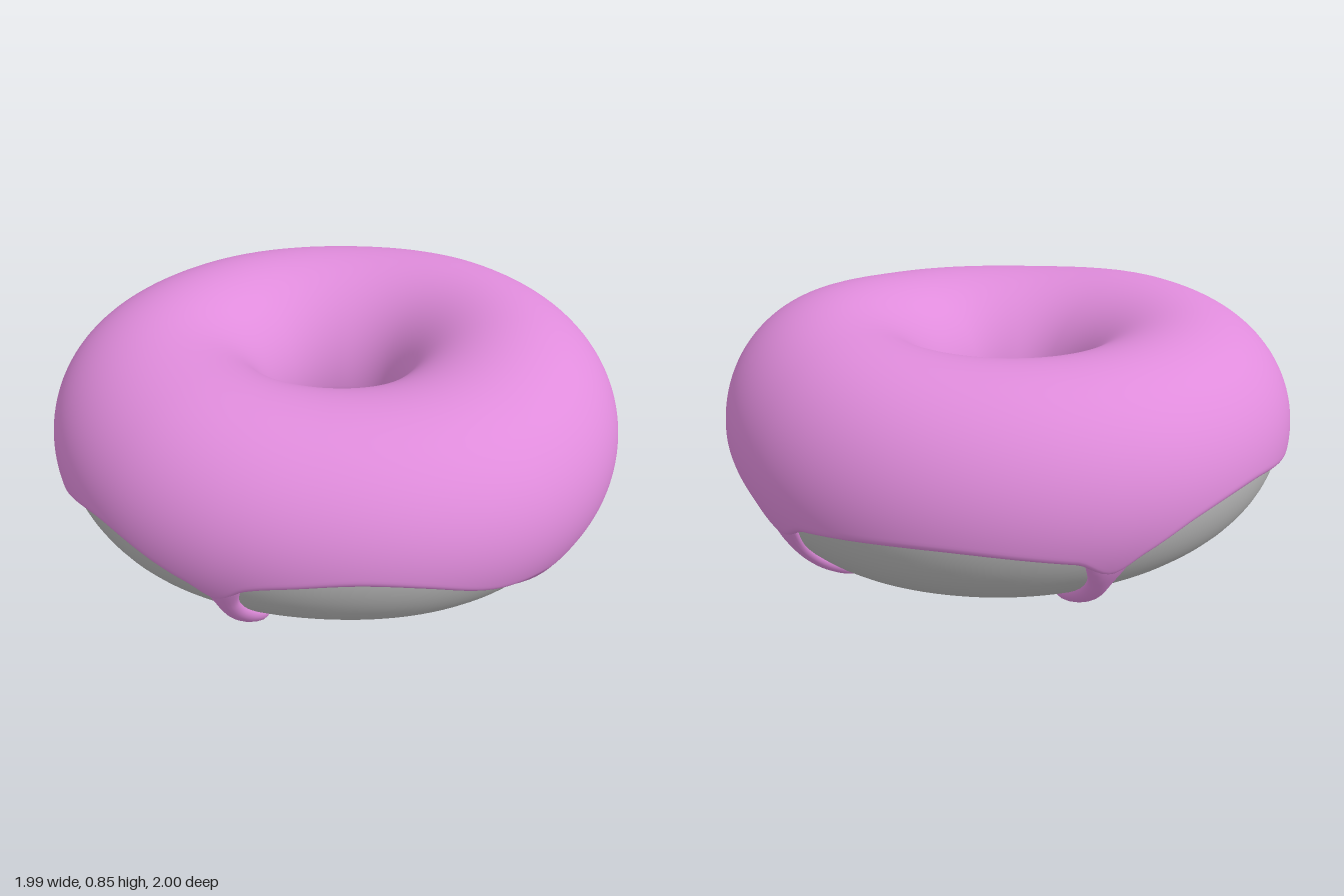
import * as THREE from 'three';

const T = 0.03; // icing thickness
const RAD = Math.PI / 180;

// Smooth periodic curve through [degrees, value] keys
function loop(keys) {
  const n = keys.length;
  const at = (i) => {
    const k = keys[((i % n) + n) % n];
    return [k[0] + 360 * Math.floor(i / n), k[1]];
  };
  const slope = (i) => {
    const a = at(i - 1), b = at(i + 1);
    return (b[1] - a[1]) / (b[0] - a[0]);
  };
  return (deg) => {
    const d = (((deg - keys[0][0]) % 360) + 360) % 360 + keys[0][0];
    let i = 0;
    while (at(i + 1)[0] <= d) i++;
    const [x0, y0] = at(i), [x1, y1] = at(i + 1);
    const h = x1 - x0, t = (d - x0) / h, t2 = t * t, t3 = t2 * t;
    return y0 * (2 * t3 - 3 * t2 + 1) + slope(i) * h * (t3 - 2 * t2 + t)
      + y1 * (3 * t2 - 2 * t3) + slope(i + 1) * h * (t3 - t2);
  };
}

const every45 = (values) => loop(values.map((v, i) => [i * 45, v]));

// Irregular ring: outer radius, hole radius, top and bottom by angle (+x towards +z)
const outer = every45([0.985, 0.932, 0.995, 1.03, 0.998, 0.968, 0.998, 1.025]);
const hole = every45([0.15, 0.132, 0.185, 0.235, 0.228, 0.215, 0.24, 0.21]);
const top = every45([0.82, 0.815, 0.84, 0.847, 0.845, 0.845, 0.86, 0.86]);
const bottom = every45([0.05, 0.06, 0.083, 0.09, 0.085, 0.06, 0.045, 0.048]);

// Height of the icing's outer hem, dipping at each drip
const hem = loop([
  [-8, 0.24], [-3, 0.26], [10, 0.3], [25, 0.38], [38, 0.41], [52, 0.39], [60, 0.36], [66, 0.3],
  [72, 0.35], [92, 0.44], [112, 0.36], [121, 0.3], [128, 0.34], [150, 0.41], [165, 0.45],
  [180, 0.42], [191, 0.34], [197, 0.28], [204, 0.34], [230, 0.385], [258, 0.33], [267, 0.26],
  [275, 0.33], [290, 0.4], [308, 0.45], [330, 0.35], [346, 0.27],
]);

function section(deg) {
  const ro = outer(deg), ri = hole(deg), yt = top(deg) - T, yb = bottom(deg);
  return { R: (ro + ri) / 2, a: (ro - ri) / 2 - T, c: (yt + yb) / 2, b: (yt - yb) / 2 };
}

// Point on the ring, raised by off from the dough; phi is 0 outside, 90 degrees on top
function ringPoint(deg, phi, off = 0) {
  const { R, a, c, b } = section(deg);
  const r = R + (a + off) * Math.cos(phi);
  return new THREE.Vector3(
    r * Math.cos(deg * RAD), c + (b + off) * Math.sin(phi), r * Math.sin(deg * RAD));
}

// Smooth skin over rows of points; columns always close, rows close on request
function skin(rows, cols, closeRows, point) {
  const pos = [], index = [];
  for (let i = 0; i < rows; i++) {
    for (let j = 0; j < cols; j++) pos.push(...point(i, j).toArray());
  }
  for (let i = 0; i < (closeRows ? rows : rows - 1); i++) {
    for (let j = 0; j < cols; j++) {
      const i2 = (i + 1) % rows, j2 = (j + 1) % cols;
      const a = i * cols + j, b = i2 * cols + j, c = i2 * cols + j2, d = i * cols + j2;
      index.push(a, b, c, a, c, d);
    }
  }
  const g = new THREE.BufferGeometry();
  g.setAttribute('position', new THREE.Float32BufferAttribute(pos, 3));
  g.setIndex(index);
  g.computeVertexNormals();
  return g;
}

function doughGeometry() {
  const rows = 64, cols = 128;
  return skin(rows, cols, true, (i, j) =>
    ringPoint((j / cols) * 360, (i / rows) * Math.PI * 2));
}

// Icing sheet from the outer hem over the top and down into the hole, with rounded edges
function icingGeometry() {
  const rows = 72, cols = 288, round = 0.08;
  return skin(rows, cols, false, (i, j) => {
    const deg = (j / cols) * 360;
    const { c, b } = section(deg);
    const start = Math.asin((hem(deg) - c) / b);
    const end = Math.PI - Math.asin((0.41 - c) / b);
    const phi = start + (end - start) * (1 - Math.cos((i / (rows - 1)) * Math.PI)) / 2;
    const d = Math.min(1, Math.min(phi - start, end - phi) / round);
    const off = i === 0 || i === rows - 1 ? -0.01 : T * Math.sqrt(Math.max(0, 1 - (1 - d) ** 2));
    return ringPoint(deg, phi, off);
  });
}

// Drip: flattened tube hugging the dough, wide root, thin neck and round bulb
function dripGeometry({ from, to, start, end, bulb }) {
  const rows = 40, cols = 20;
  const at = (s) => ringPoint(
    THREE.MathUtils.lerp(from, to, s), THREE.MathUtils.lerp(start, end, s) * RAD);
  const length = at(0).distanceTo(at(0.5)) + at(0.5).distanceTo(at(1));
  const smooth = THREE.MathUtils.smoothstep;
  return skin(rows, cols, false, (i, j) => {
    const s = (1 - Math.cos((i / (rows - 1)) * Math.PI)) / 2;
    const p = at(s);
    const deg = THREE.MathUtils.lerp(from, to, s);
    const phi = THREE.MathUtils.lerp(start, end, s) * RAD;
    const normal = ringPoint(deg, phi, 0.01).sub(ringPoint(deg, phi, 0)).normalize();
    const along = at(s + 0.01).sub(at(s - 0.01)).normalize();
    const side = along.clone().cross(normal).normalize();
    let w = 0.045 + 0.045 * (1 - smooth(s, 0, 0.4)) + (bulb - 0.045) * smooth(s, 0.45, 0.85);
    const left = Math.min(1, ((1 - s) * length) / bulb);
    const cap = Math.sqrt(Math.max(0, 1 - (1 - left) ** 2)) * Math.min(1, s * 12);
    const h = (0.028 + 0.014 * smooth(s, 0.3, 0.8)) * cap;
    w *= cap;
    const t = (j / cols) * Math.PI * 2;
    return p.addScaledVector(side, w * Math.cos(t)).addScaledVector(normal, h * Math.sin(t));
  });
}

export function createModel() {
  const group = new THREE.Group();
  group.name = 'icedRing';
  const dough = new THREE.MeshStandardMaterial({ color: 0xb8b8b8 });
  dough.name = 'grey dough';
  const icing = new THREE.MeshStandardMaterial({ color: 0xe08cdc });
  icing.name = 'pink icing';

  const add = (name, geometry, material) => {
    const mesh = new THREE.Mesh(geometry, material);
    mesh.name = name;
    group.add(mesh);
  };
  add('dough', doughGeometry(), dough);
  add('icing', icingGeometry(), icing);

  // Angles in degrees around the ring (from, to) and down its side (start, end)
  const drips = {
    leftDrip: { from: -8, to: -10, start: -12, end: -81, bulb: 0.075 },
    frontLeftDrip: { from: 66, to: 64.5, start: -4, end: -67, bulb: 0.07 },
    frontRightDrip: { from: 122, to: 118.5, start: -6, end: -63, bulb: 0.075 },
    rightDrip: { from: 197, to: 198, start: -10, end: -81, bulb: 0.072 },
    backDrip: { from: 267, to: 268, start: -12, end: -87, bulb: 0.085 },
  };
  for (const [name, spec] of Object.entries(drips)) add(name, dripGeometry(spec), icing);
  return group;
}
